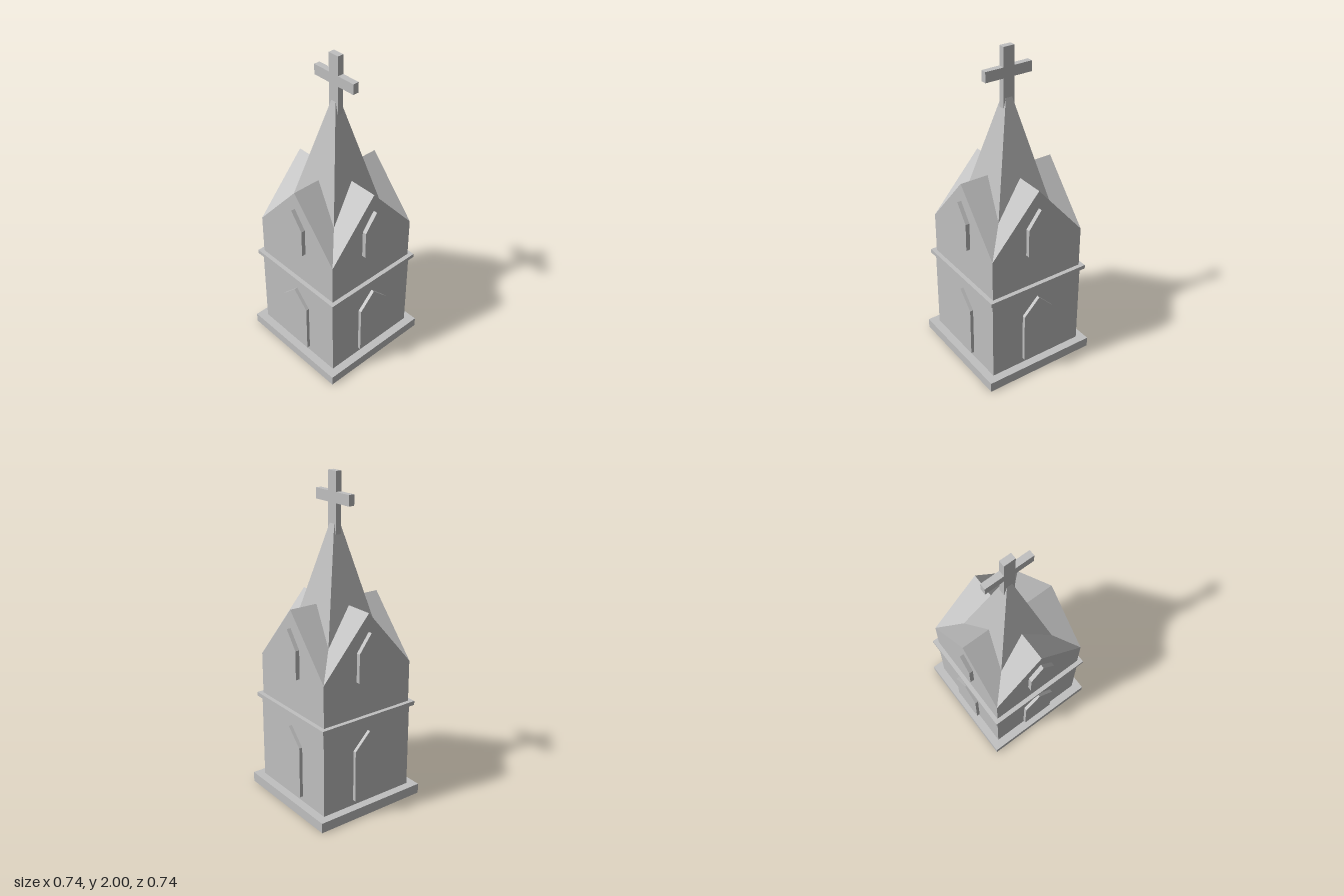
import * as THREE from 'three';

export function createModel() {
  const model = new THREE.Group();
  model.name = 'chapelTower';
  const stone = new THREE.MeshStandardMaterial({ color: 0xc0c0c0 });
  stone.name = 'grey stone';

  const add = (name, geometry, parent = model) => {
    const mesh = new THREE.Mesh(geometry, stone);
    mesh.name = name;
    parent.add(mesh);
    return mesh;
  };
  // Box given by half widths and its bottom and top heights
  const block = (name, halfX, halfZ, y0, y1) =>
    add(name, new THREE.BoxGeometry(halfX * 2, y1 - y0, halfZ * 2).translate(0, (y0 + y1) / 2, 0));
  // Upright outline extruded along z from z0 to z1
  const slab = (points, z0, z1) => {
    const shape = new THREE.Shape(points.map(([x, y]) => new THREE.Vector2(x, y)));
    return new THREE.ExtrudeGeometry(shape, { depth: z1 - z0, bevelEnabled: false }).translate(0, 0, z0);
  };
  // Pointed panel outline
  const pointed = (half, bottom, shoulder, peak) =>
    [[-half, bottom], [half, bottom], [half, shoulder], [0, peak], [-half, shoulder]];

  // Plinth and two storeys
  block('plinth', 0.372, 0.372, 0, 0.063);
  block('lowerStorey', 0.32, 0.32, 0.063, 0.605);
  block('ledge', 0.342, 0.342, 0.605, 0.63);
  block('upperStorey', 0.315, 0.315, 0.63, 0.89);

  // Two crossing gable roofs
  for (let i = 0; i < 2; i++) {
    const roof = add('gableRoof', slab([[-0.315, 0.89], [0.315, 0.89], [0, 1.25]], -0.315, 0.315));
    roof.rotation.y = i * Math.PI / 2;
  }

  // Raised pointed doors and windows on all four sides
  for (let i = 0; i < 4; i++) {
    const side = new THREE.Group();
    side.name = 'sideOpenings';
    side.rotation.y = i * Math.PI / 2;
    add('door', slab(pointed(0.105, 0.097, 0.425, 0.532), 0.31, 0.341), side);
    add('window', slab(pointed(0.083, 0.853, 1.03, 1.14), 0.305, 0.341), side);
    model.add(side);
  }

  // Four-sided spire, its foot sunk into the roof valleys
  const foot = 0.95, apex = 1.79;
  const spire = new THREE.ConeGeometry(0.207 * Math.SQRT2, apex - foot, 4, 1).toNonIndexed();
  spire.computeVertexNormals();
  add('spire', spire.rotateY(Math.PI / 4).translate(0, (foot + apex) / 2, 0));

  // Cross on the spire, a single outline
  const w = 0.036, arm = 0.153, b = 1.64, lo = 1.822, hi = 1.885, top = 2;
  add('cross', slab([
    [-w, b], [w, b], [w, lo], [arm, lo], [arm, hi], [w, hi],
    [w, top], [-w, top], [-w, hi], [-arm, hi], [-arm, lo], [-w, lo],
  ], -0.021, 0.017));

  return model;
}
